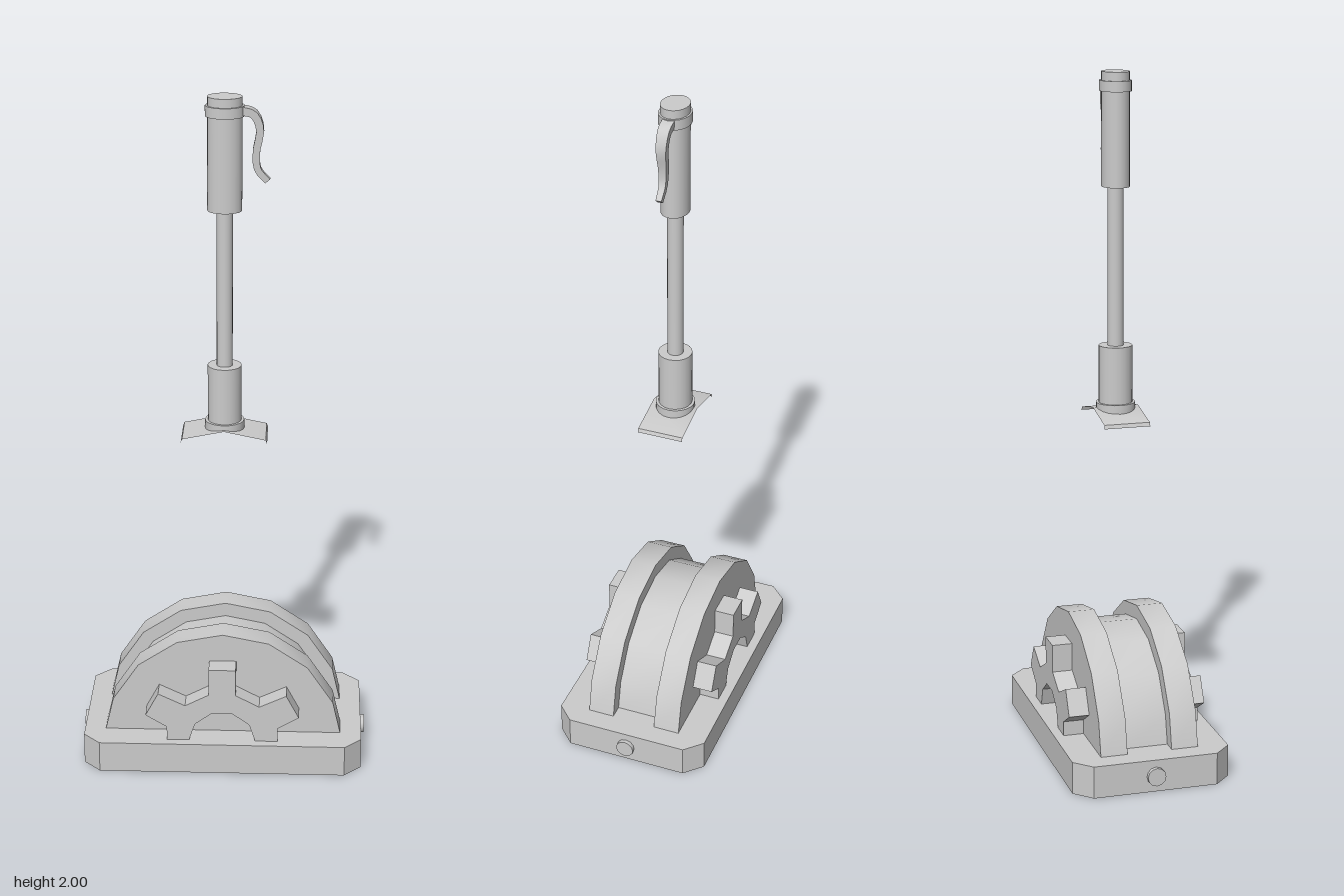
import * as THREE from 'three';
import { toCreasedNormals } from 'three/addons/utils/BufferGeometryUtils.js';

const grey = new THREE.MeshStandardMaterial({ color: 0xcccccc });
const greyThin = new THREE.MeshStandardMaterial({ color: 0xcccccc, side: THREE.DoubleSide });

const BASE_TOP = 0.095;
const AXIS_Y = 0.06;

function shapeOf(points) {
  return new THREE.Shape(points.map(([x, y]) => new THREE.Vector2(x, y)));
}

// Extrude an outline of [x, y] points, centred on z = 0
function slab(points, depth) {
  const geo = new THREE.ExtrudeGeometry(shapeOf(points), { depth, bevelEnabled: false });
  geo.translate(0, 0, -depth / 2);
  return toCreasedNormals(geo, 0.6);
}

// Upper half of a 16-sided wheel, cut off at the base
function halfWheel(r) {
  const pts = [];
  for (let i = 1; i < 8; i++) {
    const a = (i * Math.PI) / 8;
    pts.push([r * Math.cos(a), AXIS_Y + r * Math.sin(a)]);
  }
  const cutX = r * 0.993;
  return [[cutX, BASE_TOP - 0.005], ...pts, [-cutX, BASE_TOP - 0.005]];
}

export function createModel() {
  const model = new THREE.Group();
  const add = (parent, name, geo, x = 0, y = 0, z = 0, mat = grey) => {
    const mesh = new THREE.Mesh(geo, mat);
    mesh.name = name;
    mesh.position.set(x, y, z);
    parent.add(mesh);
    return mesh;
  };

  // Base plate with clipped corners
  const X = 0.415, Z = 0.233, C = 0.05;
  const plate = slab([
    [X, -Z + C], [X, Z - C], [X - C, Z], [-X + C, Z],
    [-X, Z - C], [-X, -Z + C], [-X + C, -Z], [X - C, -Z],
  ], BASE_TOP).rotateX(-Math.PI / 2);
  add(model, 'basePlate', plate, 0, BASE_TOP / 2, 0);

  // Round pins at both ends of the base
  for (const s of [1, -1]) {
    const pin = new THREE.CylinderGeometry(0.027, 0.027, 0.04, 12).rotateZ(Math.PI / 2);
    add(model, s > 0 ? 'leftPin' : 'rightPin', pin, s * 0.407, 0.047, 0);
  }

  // Drum between two larger wheel cheeks
  add(model, 'drum', slab(halfWheel(0.314), 0.15));

  // Half gear outline: right side, then mirrored, with an arched opening
  const side = [[0.165, 0.09], [0.165, 0.138], [0.228, 0.176], [0.19, 0.248],
    [0.11, 0.21], [0.04, 0.247], [0.04, 0.33]];
  const arch = [];
  for (let i = 0; i <= 5; i++) {
    const a = Math.PI - (i * Math.PI) / 5;
    arch.push([0.1 * Math.cos(a), 0.09 + 0.1 * Math.sin(a)]);
  }
  const mirrored = side.map(([x, y]) => [-x, y]).reverse();
  const gear = slab([...side, ...mirrored, ...arch], 0.062);

  for (const s of [1, -1]) {
    const where = s > 0 ? 'front' : 'back';
    add(model, where + 'Wheel', slab(halfWheel(0.356), 0.079), 0, 0, s * 0.1055);
    add(model, where + 'Gear', gear, 0, 0, s * 0.174);
  }

  // Lever raised above the drum
  const lever = new THREE.Group();
  lever.name = 'lever';
  model.add(lever);

  const rod = (name, r, y0, y1, depthScale = 1) => {
    const geo = new THREE.CylinderGeometry(r, r, y1 - y0, 20);
    geo.scale(1, 1, depthScale);
    return add(lever, name, geo, 0, (y0 + y1) / 2, 0);
  };

  // Saddle: thin bent sheet with short lips at the ends
  const profile = [[-0.125, 0.997], [-0.121, 1.008], [0, 1.033], [0.121, 1.008], [0.125, 0.997]];
  const sheet = new THREE.PlaneGeometry(1, 0.136, 4, 1).rotateX(-Math.PI / 2);
  const pos = sheet.attributes.position;
  for (let i = 0; i < pos.count; i++) {
    const [x, y] = profile[i % 5];
    pos.setX(i, x);
    pos.setY(i, y);
  }
  add(lever, 'saddle', toCreasedNormals(sheet, 0.6), 0, 0, 0, greyThin);

  // Foot ring, its lower rim following the bend of the saddle
  const ring = new THREE.CylinderGeometry(0.057, 0.057, 0.02, 20);
  const rp = ring.attributes.position;
  for (let i = 0; i < rp.count; i++) {
    if (rp.getY(i) < 0) rp.setY(i, -0.007 - 0.207 * Math.abs(rp.getX(i)));
  }
  add(lever, 'footRing', toCreasedNormals(ring, 0.6), 0, 1.04 - 0.01 + 0.007, 0);

  rod('socket', 0.049, 1.03, 1.215);
  rod('shaft', 0.023, 1.21, 1.68);
  rod('grip', 0.049, 1.675, 2.0, 0.82);
  rod('gripBand', 0.055, 1.945, 1.975, 0.83);

  // Curved trigger: strip along an S curve, narrowing downwards
  const path = new THREE.CatmullRomCurve3([
    [0.045, 1.962], [0.08, 1.952], [0.098, 1.91], [0.088, 1.845], [0.092, 1.795], [0.12, 1.762],
  ].map(([x, y]) => new THREE.Vector3(x, y, 0)));
  const outer = [], inner = [];
  const N = 14;
  for (let i = 0; i <= N; i++) {
    const p = path.getPoint(i / N), t = path.getTangent(i / N);
    const h = 0.012 - 0.003 * (i / N);
    outer.push([p.x - t.y * h, p.y + t.x * h]);
    inner.unshift([p.x + t.y * h, p.y - t.x * h]);
  }
  const trigger = slab([...outer, ...inner], 1);
  const tp = trigger.attributes.position;
  for (let i = 0; i < tp.count; i++) {
    const k = (tp.getY(i) - 1.76) / 0.21;
    tp.setZ(i, tp.getZ(i) * (0.016 + 0.018 * Math.max(0, k)));
  }
  add(lever, 'trigger', toCreasedNormals(trigger, 0.6));

  return model;
}
